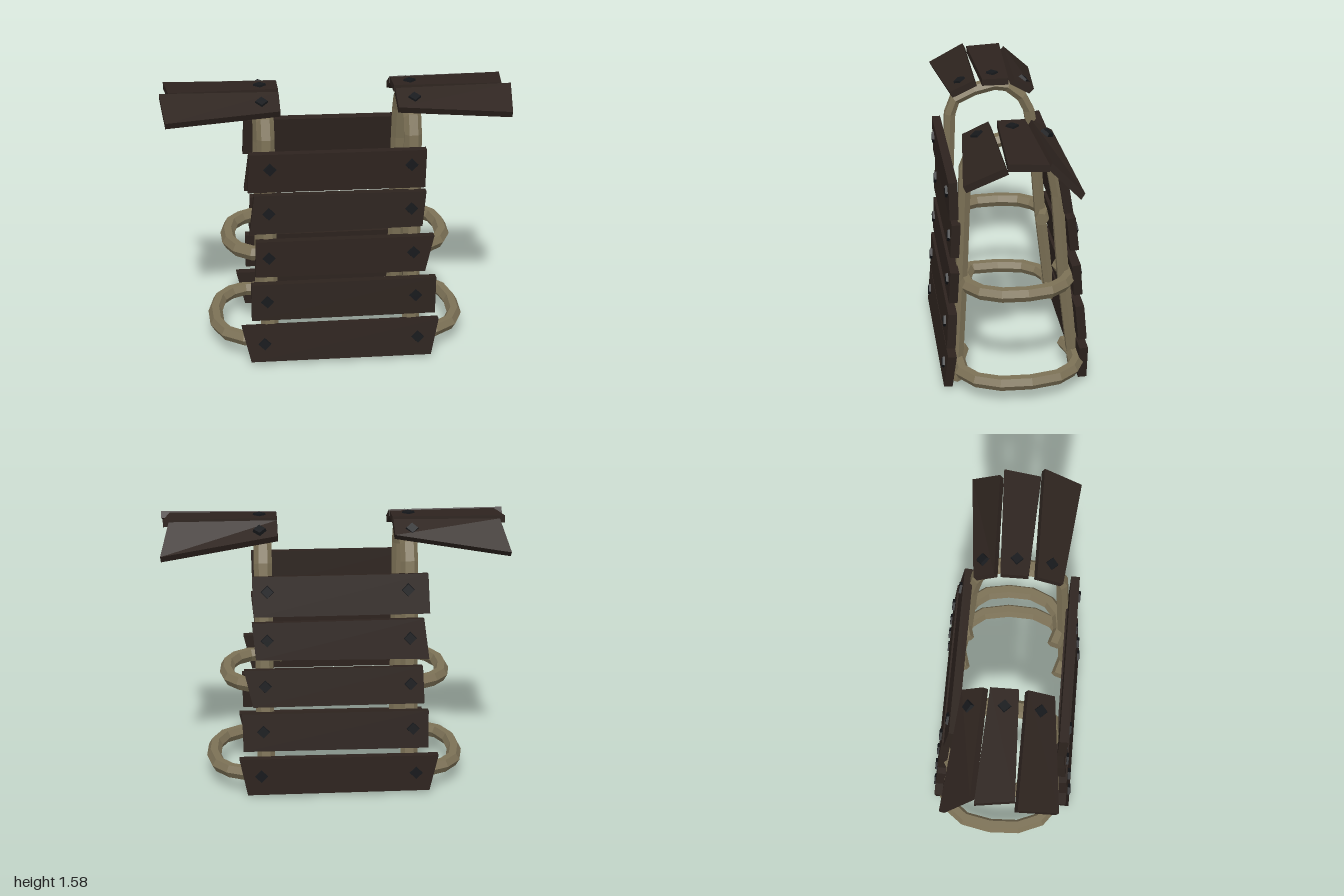
import * as THREE from 'three';

const V = (x, y, z) => new THREE.Vector3(x, y, z);
const mat = (color) => new THREE.MeshStandardMaterial({ color, flatShading: true, roughness: 0.9 });
const wood = mat(0x2d231e);
const rope = mat(0x7c7156);
const iron = mat(0x16181b);

function addMesh(parent, name, geometry, material) {
  const mesh = new THREE.Mesh(geometry, material);
  mesh.name = name;
  parent.add(mesh);
  return mesh;
}

// Hexagonal bar swept along a planar path; b is the normal of that plane
function sweep(path, b, rn, rb) {
  const pos = [], idx = [], last = path.length - 1, S = 6;
  path.forEach((p, i) => {
    const t = path[Math.min(i + 1, last)].clone().sub(path[Math.max(i - 1, 0)]).normalize();
    const n = b.clone().cross(t).normalize();
    for (let j = 0; j < S; j++) {
      // corners at +-b for upright straps, at +-n for level hoops
      const a = j * Math.PI / 3 + (b.x ? Math.PI / 6 : 0);
      const q = p.clone().addScaledVector(n, rn * Math.cos(a)).addScaledVector(b, rb * Math.sin(a));
      pos.push(q.x, q.y, q.z);
    }
  });
  for (let i = 0; i < last; i++) {
    for (let j = 0; j < S; j++) {
      const k = (j + 1) % S, o = i * S;
      idx.push(o + j, o + k, o + S + k, o + j, o + S + k, o + S + j);
    }
  }
  const e = last * S;
  for (let j = 1; j < S - 1; j++) idx.push(0, j + 1, j, e, e + j, e + j + 1);
  const g = new THREE.BufferGeometry();
  g.setAttribute('position', new THREE.Float32BufferAttribute(pos, 3));
  g.setIndex(idx);
  g.computeVertexNormals();
  return g;
}

// Board whose mid-plane has corners top-left, top-right, bottom-right, bottom-left
function plankGeometry([tl, tr, br, bl], thick) {
  const n = tr.clone().sub(tl).cross(tl.clone().sub(bl)).normalize();
  const g = new THREE.BoxGeometry(1, 1, 1), p = g.attributes.position;
  for (let i = 0; i < p.count; i++) {
    const c = p.getY(i) > 0 ? (p.getX(i) < 0 ? tl : tr) : (p.getX(i) < 0 ? bl : br);
    const v = c.clone().addScaledVector(n, Math.sign(p.getZ(i)) * thick / 2);
    p.setXYZ(i, v.x, v.y, v.z);
  }
  g.computeVertexNormals();
  return { g, n };
}

// Diamond-headed stud standing on a surface
function stud(parent, at, n) {
  const m = addMesh(parent, 'stud', new THREE.CylinderGeometry(0.034, 0.042, 0.03, 4), iron);
  m.position.copy(at);
  m.quaternion.setFromUnitVectors(V(0, 1, 0), n);
}

export function createModel() {
  const model = new THREE.Group();

  // Upright straps running over each shoulder, as [z, y]
  const strap = [[0.335, 0.003], [0.298, 0.65], [0.268, 1.34], [0.235, 1.43], [0.12, 1.485], [0, 1.513],
    [-0.08, 1.5], [-0.165, 1.43], [-0.21, 1.34], [-0.245, 1.15], [-0.285, 0.66], [-0.36, 0.05]];
  for (const s of [1, -1]) {
    const path = strap.map(([z, y]) => V(s * 0.415, y, z));
    addMesh(model, s > 0 ? 'leftStrap' : 'rightStrap', sweep(path, V(1, 0, 0), 0.037, 0.05), rope);
  }

  // Side hoops joining front and back, as [x, z]
  const hoops = [
    { name: 'lowerHoop', y: 0.13, pts: [[0.3, 0.29], [0.42, 0.325], [0.56, 0.315], [0.66, 0.24], [0.715, 0.11],
      [0.722, -0.06], [0.69, -0.22], [0.62, -0.31], [0.53, -0.355], [0.42, -0.355], [0.3, -0.32]] },
    { name: 'upperHoop', y: 0.65, pts: [[0.3, 0.25], [0.4, 0.28], [0.5, 0.265], [0.58, 0.2], [0.628, 0.09],
      [0.634, -0.05], [0.61, -0.18], [0.55, -0.26], [0.48, -0.305], [0.4, -0.31], [0.3, -0.28]] },
  ];
  for (const { name, y, pts } of hoops) {
    for (const s of [1, -1]) {
      const path = pts.map(([x, z]) => V(s * x, y, z));
      addMesh(model, name, sweep(path, V(0, 1, 0), 0.043, 0.043), rope);
    }
  }

  // Chest and back boards: x and y of the corners, front z and back z at top and bottom, stud x and y
  const boards = [
    { c: [-0.515, 1.285, 0.48, 1.28, 0.475, 1.055, -0.525, 1.06], f: [0.342, 0.338], b: [-0.266, -0.304], s: [-0.4, 0.395, 1.195] },
    { c: [-0.49, 1.035, 0.485, 1.025, 0.465, 0.815, -0.52, 0.805], f: [0.328, 0.338], b: [-0.316, -0.344], s: [-0.41, 0.4, 0.925] },
    { c: [-0.485, 0.76, 0.535, 0.755, 0.485, 0.54, -0.495, 0.545], f: [0.345, 0.352], b: [-0.342, -0.366], s: [-0.415, 0.415, 0.66] },
    { c: [-0.52, 0.5, 0.55, 0.5, 0.545, 0.28, -0.52, 0.28], f: [0.362, 0.374], b: [-0.364, -0.386], s: [-0.43, 0.43, 0.395] },
    { c: [-0.58, 0.235, 0.57, 0.235, 0.525, 0.015, -0.53, 0.02], f: [0.37, 0.393], b: [-0.39, -0.394], s: [-0.45, 0.445, 0.13] },
  ];
  for (const { c, f, b, s } of boards) {
    for (const [name, [zt, zb], side] of [['chestBoard', f, 1], ['backBoard', b, -1]]) {
      const group = new THREE.Group();
      group.name = name;
      const { g, n } = plankGeometry(
        [V(c[0], c[1], zt), V(c[2], c[3], zt), V(c[4], c[5], zb), V(c[6], c[7], zb)], 0.05);
      addMesh(group, 'plank', g, wood);
      n.multiplyScalar(side);
      const k = (c[1] - s[2]) / (c[1] - c[7]);
      for (const x of [s[0], s[1]]) {
        stud(group, V(x, s[2], zt + (zb - zt) * k).addScaledVector(n, 0.024), n);
      }
      model.add(group);
    }
  }

  // Flared shoulder boards: inner-rear, outer-rear, outer-front, inner-front corners, then stud
  const shoulders = [
    [[0.33, 1.485, -0.215], [0.985, 1.39, -0.28], [0.94, 1.55, -0.115], [0.33, 1.55, -0.1], [0.43, 1.51, -0.172]],
    [[0.33, 1.553, -0.075], [0.975, 1.555, -0.105], [0.945, 1.555, 0.105], [0.33, 1.553, 0.08], [0.43, 1.553, 0.01]],
    [[0.33, 1.552, 0.12], [0.995, 1.56, 0.115], [0.965, 1.457, 0.33], [0.33, 1.485, 0.265], [0.43, 1.518, 0.195]],
  ];
  for (const s of [1, -1]) {
    for (const def of shoulders) {
      const group = new THREE.Group();
      group.name = s > 0 ? 'leftShoulderBoard' : 'rightShoulderBoard';
      const [ir, or, of, inf, at] = def.map(([x, y, z]) => V(s * x, y, z));
      const { g, n } = plankGeometry(s > 0 ? [ir, or, of, inf] : [or, ir, inf, of], 0.04);
      addMesh(group, 'plank', g, wood);
      stud(group, at.addScaledVector(n, 0.017), n);
      model.add(group);
    }
  }
  return model;
}
